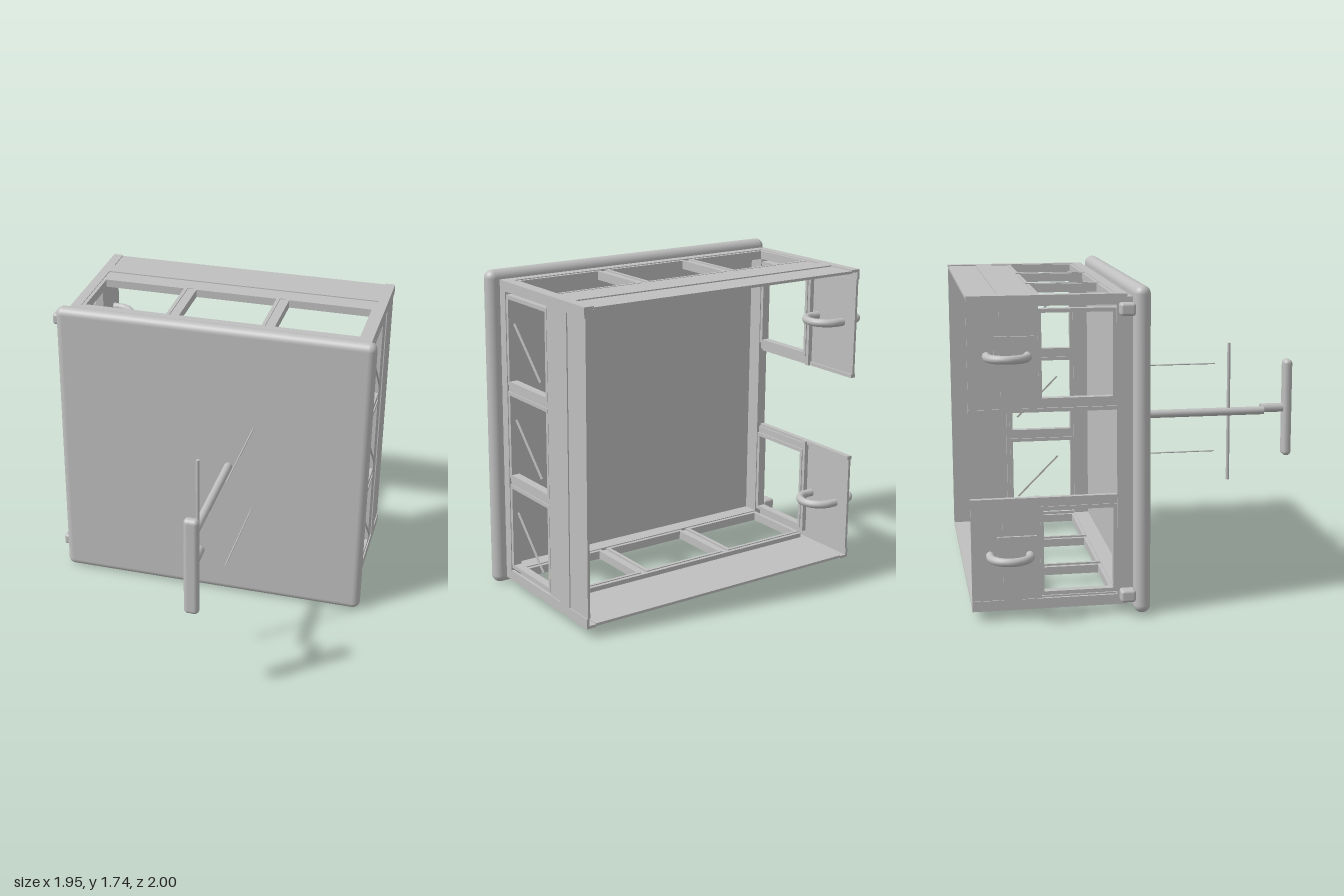
import * as THREE from 'three';
import { RoundedBoxGeometry } from 'three/addons/geometries/RoundedBoxGeometry.js';

const grey = new THREE.MeshStandardMaterial({ color: 0xbfbfbf });
grey.name = 'plain grey';

function add(parent, name, geometry, x = 0, y = 0, z = 0) {
  const mesh = new THREE.Mesh(geometry, grey);
  mesh.name = name;
  mesh.position.set(x, y, z);
  parent.add(mesh);
  return mesh;
}

// Box given by its limits on each axis
function block(parent, name, [x0, x1], [y0, y1], [z0, z1]) {
  return add(parent, name, new THREE.BoxGeometry(x1 - x0, y1 - y0, z1 - z0),
    (x0 + x1) / 2, (y0 + y1) / 2, (z0 + z1) / 2);
}

function rodZ(parent, name, radius, x, y, z0, z1) {
  const geometry = new THREE.CylinderGeometry(radius, radius, z1 - z0, 20).rotateX(Math.PI / 2);
  return add(parent, name, geometry, x, y, (z0 + z1) / 2);
}

const BACK = -1, FRONT = -0.235;

// One wall lying flat: x runs along it, y = 0 is its outer face
function buildWall(name, half, pitch, split) {
  const wall = new THREE.Group();
  wall.name = name;
  const inner = half - 0.055;

  // Corner angles and front collar
  for (const s of [-1, 1]) {
    const u = s * (half - 0.0275);
    block(wall, 'cornerAngle', [u - 0.0275, u + 0.0275], [-0.015, 0], [BACK, FRONT]);
  }
  block(wall, 'collar', [-half, half], [-0.055, 0], [FRONT, -0.18]);
  block(wall, 'collarLip', [-half + 0.02, half - 0.02], [-0.055, -0.02], [-0.18, -0.14]);

  // Sheet panels with a raised batten between them
  const gap = 0.225;
  const spans = split ? [[-inner, -gap], [gap, inner]] : [[-inner, inner]];
  for (const span of spans) {
    block(wall, 'rearPanel', span, [-0.02, -0.006], [BACK, -0.835]);
    block(wall, 'batten', span, [-0.02, 0], [-0.835, -0.74]);
    block(wall, 'frontPanel', span, [-0.02, -0.006], [-0.74, -0.64]);
    block(wall, 'innerRail', span, [-0.045, -0.006], [-0.66, -0.637]);
  }

  // Open window frames
  const w = pitch / 2 - 0.018, t = 0.02;
  for (const bay of split ? [-1, 1] : [-1, 0, 1]) {
    const c = bay * pitch;
    for (const s of [-1, 1]) {
      const e = c + s * (w - t / 2);
      block(wall, 'windowStile', [e - t / 2, e + t / 2], [-0.05, -0.004], [-0.64, FRONT]);
    }
    block(wall, 'windowRail', [c - w, c + w], [-0.05, -0.004], [-0.64, -0.622]);
    block(wall, 'windowRail', [c - w, c + w], [-0.05, -0.004], [-0.255, FRONT]);
  }

  // Mullions, or closing rails where the middle bay is left out
  for (const s of [-1, 1]) {
    const u = s * pitch / 2;
    block(wall, 'mullion', [u - 0.019, u + 0.019], [-0.04, -0.01], [-0.64, FRONT]);
    if (split) {
      const e = s * (gap + 0.01);
      block(wall, 'endRail', [e - 0.01, e + 0.01], [-0.03, 0], [BACK, FRONT]);
    }
  }
  return wall;
}

export function createModel() {
  const model = new THREE.Group();
  model.name = 'hatchAssembly';

  // Door slab
  add(model, 'doorSlab', new RoundedBoxGeometry(1.83, 1.74, 0.087, 6, 0.043), 0.055, 0.87, -0.104);

  // Four walls of the open-backed box
  const walls = [
    ['topWall', 0.87, 0.555, false, 0.055, 1.70, 0],
    ['bottomWall', 0.87, 0.555, false, 0.055, 0.05, Math.PI],
    ['leftWall', 0.825, 0.515, false, 0.925, 0.875, -Math.PI / 2],
    ['rightWall', 0.825, 0.515, true, -0.815, 0.875, Math.PI / 2],
  ];
  for (const [name, half, pitch, split, x, y, turn] of walls) {
    const wall = buildWall(name, half, pitch, split);
    wall.position.set(x, y, 0);
    wall.rotation.z = turn;
    model.add(wall);
  }

  // Diagonal strips across the left windows
  for (const y of [1.3675, 0.855, 0.34]) {
    const strip = add(model, 'diagonalStrip', new THREE.BoxGeometry(0.008, 0.01, 0.36), 0.93, y, -0.46);
    strip.rotation.x = -Math.PI / 4;
  }

  // Grab loops inside and outside the right wall
  for (const y of [1.395, 0.35]) {
    for (const [name, x, turn] of [['outerGrabLoop', -0.85, 1], ['innerGrabLoop', -0.76, -1]]) {
      const loop = new THREE.TorusGeometry(0.103, 0.022, 14, 28, Math.PI)
        .rotateZ(turn * Math.PI / 2).rotateX(Math.PI / 2);
      add(model, name, loop, x, y, -0.8);
    }
    for (const z of [-0.903, -0.697]) {
      const leg = new THREE.CylinderGeometry(0.022, 0.022, 0.09, 14).rotateZ(Math.PI / 2);
      add(model, 'grabLoopLeg', leg, -0.805, y, z);
    }
    block(model, 'grabLoopPlate', [-0.83, -0.815], [y - 0.1, y + 0.1], [-0.865, -0.66]);
  }

  // Hinge lugs
  for (const y of [1.6275, 0.1175]) {
    add(model, 'hingeLug', new RoundedBoxGeometry(0.075, 0.065, 0.08, 3, 0.015), -0.8725, y, -0.19);
  }

  // Spindle, cross bar and guide rods
  rodZ(model, 'spindle', 0.024, 0.162, 0.873, -0.08, 0.81);
  add(model, 'crossBar', new THREE.CylinderGeometry(0.01, 0.01, 0.825, 16), 0.162, 0.8725, 0.595);
  for (const y of [1.14, 0.605]) rodZ(model, 'guideRod', 0.004, 0.305, y, -0.08, 0.545);

  // Handle grip on its short stem
  rodZ(model, 'handleStem', 0.027, 0.233, 0.873, 0.81, 0.95);
  add(model, 'handleGrip', new RoundedBoxGeometry(0.083, 0.587, 0.054, 5, 0.025), 0.235, 0.873, 0.972);

  return model;
}
